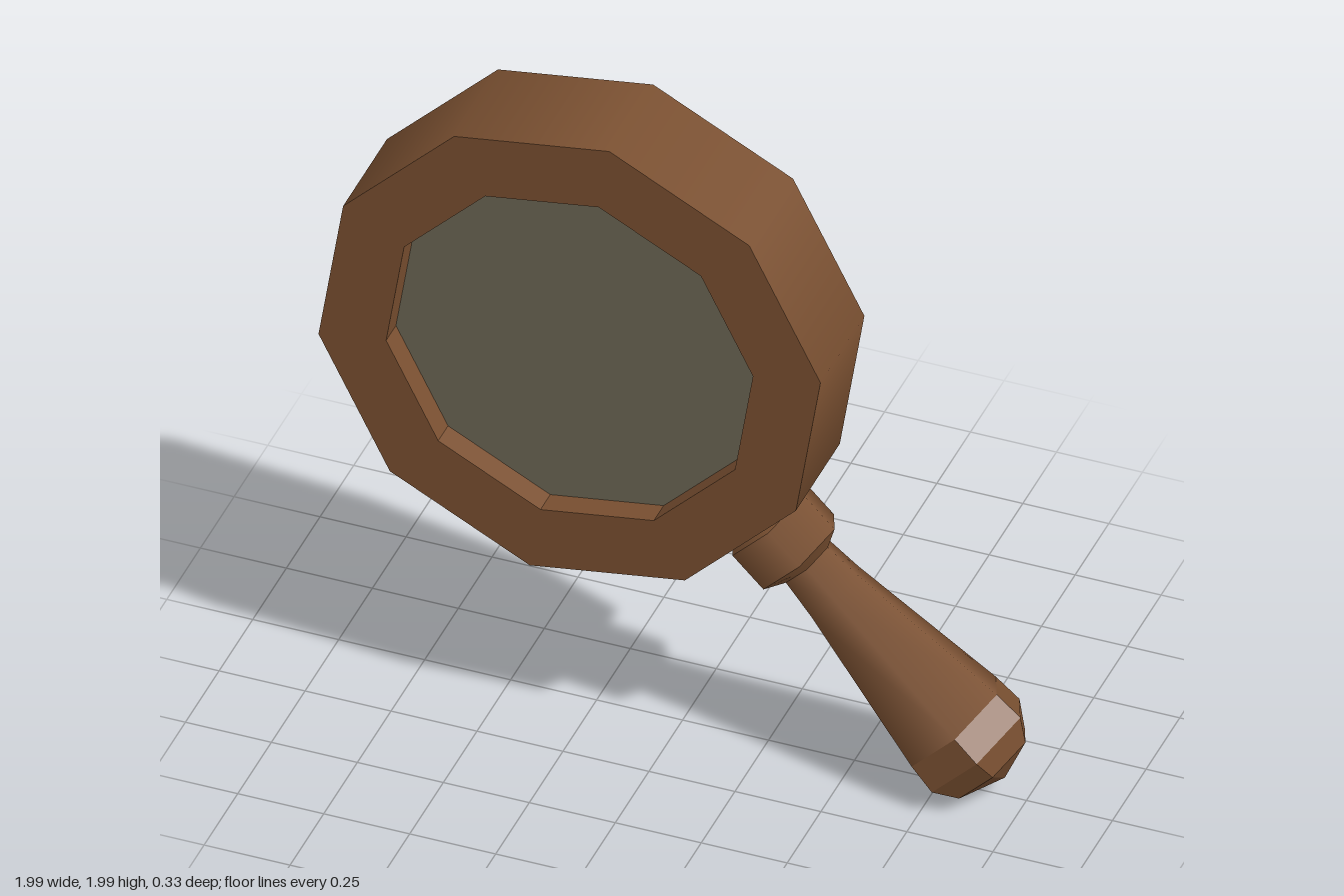
import * as THREE from 'three';

const wood = new THREE.MeshStandardMaterial({ color: 0x7a5031 });
wood.name = 'brown wood';
const glass = new THREE.MeshStandardMaterial({ color: 0x6d6755 });
glass.name = 'grey glass';

// Revolved part from [radius, height] points, smooth or faceted
function turned(name, profile, sides, startDeg, material, smooth) {
  const points = profile.map(([r, y]) => new THREE.Vector2(r, y));
  let geometry = new THREE.LatheGeometry(points, sides, THREE.MathUtils.degToRad(startDeg));
  if (!smooth) {
    geometry = geometry.toNonIndexed();
    geometry.computeVertexNormals();
  }
  const mesh = new THREE.Mesh(geometry, material);
  mesh.name = name;
  return mesh;
}

export function createModel() {
  const model = new THREE.Group();
  model.name = 'magnifyingGlass';
  const centre = [-0.265, 1.267, 0];

  // Ten-sided head: its axis points to +z
  const head = new THREE.Group();
  head.name = 'head';
  head.position.set(...centre);
  head.rotation.x = Math.PI / 2;
  const R = 0.739, r = 0.54, h = 0.163, g = 0.09;
  const ring = (name, profile, material, smooth) =>
    head.add(turned(name, profile, 10, 99, material, smooth));
  ring('frameOuterWall', [[R, -h], [R, h]], wood, true);
  ring('frameFrontRim', [[R, h], [r, h]], wood, false);
  ring('frameBackRim', [[r, -h], [R, -h]], wood, false);
  ring('frameFrontInnerWall', [[r, h], [r, g]], wood, false);
  ring('frameBackInnerWall', [[r, -g], [r, -h]], wood, false);
  ring('lensFront', [[r, g], [0, g]], glass, false);
  ring('lensBack', [[0, -g], [r, -g]], glass, false);
  model.add(head);

  // Six-sided handle: heights are distances from the head centre
  const handle = new THREE.Group();
  handle.name = 'handle';
  handle.position.set(...centre);
  handle.rotation.z = -Math.PI * 0.75;
  const turn = (name, profile, smooth) =>
    handle.add(turned(name, profile, 6, 90, wood, smooth));
  turn('collarBase', [[0.125, 0.7], [0.148, 0.725]], true);
  turn('collar', [[0.148, 0.725], [0.148, 0.852]], true);
  turn('collarShoulder', [[0.148, 0.852], [0.087, 0.885]], true);
  turn('grip', [[0.087, 0.885], [0.099, 1.0], [0.177, 1.49]], true);
  turn('pommel', [[0.177, 1.49], [0.184, 1.58], [0.138, 1.647], [0, 1.7]], false);
  model.add(handle);

  return model;
}
